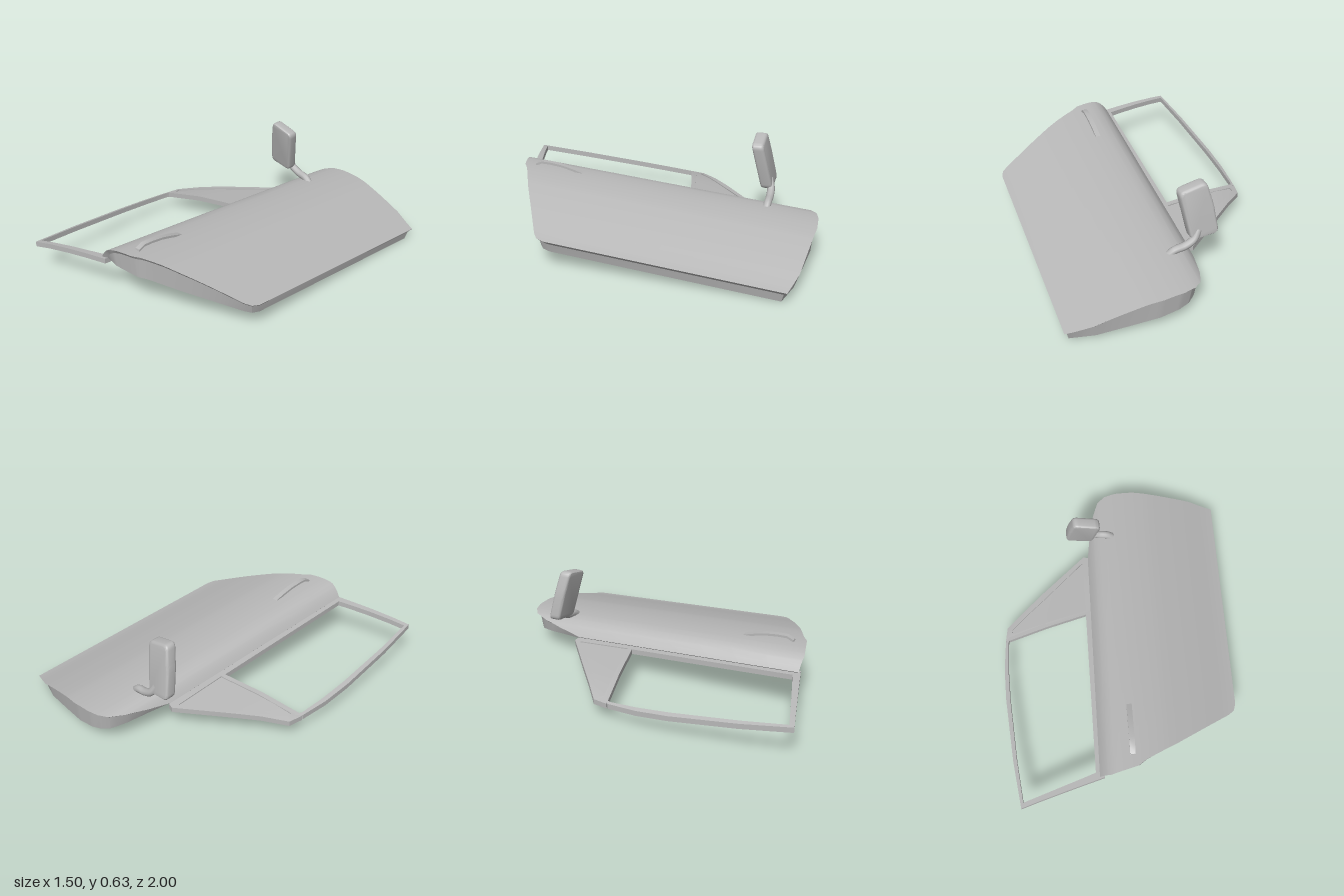
import * as THREE from 'three';
import { toCreasedNormals } from 'three/addons/utils/BufferGeometryUtils.js';

const SLOPE = 0.077; // height gained along z
const SKEW = 0.067;  // sideways drift along z: u = x + SKEW * z

// Linear and smooth lookups through short profiles
function segment(table, u) {
  let i = 0;
  while (i < table.length - 2 && u > table[i + 1][0]) i++;
  return i;
}
function linear(table, u) {
  const i = segment(table, u), [a, b] = [table[i], table[i + 1]];
  return a[1] + (b[1] - a[1]) * (u - a[0]) / (b[0] - a[0]);
}
function smooth(table, u) {
  const i = segment(table, u), [a, b] = [table[i], table[i + 1]];
  const tangent = k => {
    const p = table[Math.max(k - 1, 0)], q = table[Math.min(k + 1, table.length - 1)];
    return (q[1] - p[1]) / (q[0] - p[0]);
  };
  const w = b[0] - a[0], t = THREE.MathUtils.clamp((u - a[0]) / w, 0, 1), s = 1 - t;
  return (1 + 2 * t) * s * s * a[1] + t * s * s * w * tangent(i)
    + t * t * (3 - 2 * t) * b[1] - t * t * s * w * tangent(i + 1);
}

// Door outline and section heights, as functions of u
const rearEdge = [[-0.17, 0.88], [-0.1, 0.89], [0.01, 0.87], [0.058, 0.86], [0.106, 0.83],
  [0.3, 0.75], [0.64, 0.59], [0.675, 0.565], [0.69, 0.52]];
const frontEdge = [[-0.17, -0.58], [-0.15, -0.72], [-0.118, -0.87], [-0.084, -0.95], [-0.036, -0.985],
  [0.033, -1], [0.153, -1], [0.335, -0.97], [0.537, -0.935], [0.69, -0.88]];
const skinHeight = [[-0.17, 0.215], [-0.15, 0.245], [-0.12, 0.275], [-0.08, 0.296], [-0.03, 0.305],
  [0.058, 0.306], [0.15, 0.298], [0.25, 0.281], [0.446, 0.223], [0.64, 0.154], [0.69, 0.14]];
const frameHeight = [[-0.76, 0.115], [-0.72, 0.13], [-0.66, 0.149], [-0.6, 0.163], [-0.4, 0.19], [-0.16, 0.21]];
const U0 = -0.17, U1 = 0.69;

function geometryFrom(quads, crease = 0.5) {
  const pos = [];
  for (const [a, b, c, d] of quads) pos.push(...a, ...b, ...c, ...a, ...c, ...d);
  const g = new THREE.BufferGeometry();
  g.setAttribute('position', new THREE.Float32BufferAttribute(pos, 3));
  return toCreasedNormals(g, crease);
}

// One level of the door: rear and front points for each column
function doorLevel(columns, inset, height) {
  const edge = side => columns.map(u => {
    const v = U0 + inset + (u - U0) * (U1 - U0 - 2 * inset) / (U1 - U0);
    const z = side > 0 ? linear(rearEdge, u) - inset : linear(frontEdge, u) + inset;
    return [v - SKEW * z, height(u) + SLOPE * z, z];
  });
  return { rear: edge(1), front: edge(-1) };
}
function capQuads({ rear, front }, up) {
  const quads = [];
  const rows = 8;
  const at = (i, k) => rear[i].map((r, c) => r + (front[i][c] - r) * k / rows);
  for (let i = 0; i < rear.length - 1; i++) {
    for (let k = 0; k < rows; k++) {
      const q = [at(i, k), at(i + 1, k), at(i + 1, k + 1), at(i, k + 1)];
      quads.push(up ? q : q.reverse());
    }
  }
  return quads;
}
function wallQuads(upper, lower) {
  const a = [...upper.rear, ...[...upper.front].reverse()];
  const b = [...lower.rear, ...[...lower.front].reverse()];
  return a.map((p, i) => {
    const j = (i + 1) % a.length;
    return [b[i], b[j], a[j], p];
  });
}

// Rectangular-section band between outer and inner edge points [xo, zo, xi, zi, y?]
function bandGeometry(pairs, thickness, closed, drop = 0) {
  const point = (x, z, y, dy) =>
    [x, (y ?? smooth(frameHeight, x + SKEW * z) + SLOPE * z - drop) - dy, z];
  const sections = pairs.map(([xo, zo, xi, zi, y]) => [
    point(xo, zo, y, 0), point(xo, zo, y, thickness), point(xi, zi, y, thickness), point(xi, zi, y, 0)]);
  const quads = [];
  for (let i = 0; i < sections.length - (closed ? 0 : 1); i++) {
    const s = sections[i], t = sections[(i + 1) % sections.length];
    for (let k = 0; k < 4; k++) quads.push([s[k], t[k], t[(k + 1) % 4], s[(k + 1) % 4]]);
  }
  return geometryFrom(quads);
}

function roundedShape(points, r) {
  const shape = new THREE.Shape();
  const v = points.map(p => new THREE.Vector2(...p));
  v.forEach((p, i) => {
    const toward = q => p.clone().add(q.clone().sub(p).setLength(r));
    const a = toward(v[(i + v.length - 1) % v.length]), b = toward(v[(i + 1) % v.length]);
    if (i) shape.lineTo(a.x, a.y); else shape.moveTo(a.x, a.y);
    shape.quadraticCurveTo(p.x, p.y, b.x, b.y);
  });
  shape.closePath();
  return shape;
}

export function createModel() {
  const door = new THREE.Group();
  door.name = 'vehicleDoor';
  const grey = new THREE.MeshStandardMaterial({ color: 0xb8b8b8, side: THREE.DoubleSide });
  grey.name = 'plainGrey';
  const add = (name, geometry, parent = door) => {
    const mesh = new THREE.Mesh(geometry, grey);
    mesh.name = name;
    parent.add(mesh);
    return mesh;
  };

  // Curved outer skin with a lip that turns under to the inner tray
  const knots = [...rearEdge, ...frontEdge, ...skinHeight].map(p => p[0]);
  for (let i = 1; i < 20; i++) knots.push(U0 + (U1 - U0) * i / 20);
  const columns = knots.sort((a, b) => a - b).filter((u, i, all) => !i || u - all[i - 1] > 0.004);
  columns[columns.length - 1] = U1;
  const height = u => smooth(skinHeight, u);
  const skin = doorLevel(columns, 0, height);
  const lip = doorLevel(columns, 0.018, u => height(u) - 0.02);
  const floor = doorLevel(columns, 0.03, u => 0.192 - 0.146 * (u + 0.16));
  add('outerSkin', geometryFrom(capQuads(skin, true)));
  add('skinLip', geometryFrom(wallQuads(skin, lip)));
  add('innerTrayWall', geometryFrom(wallQuads(lip, floor)));
  add('innerTrayFloor', geometryFrom(capQuads(floor, false)));

  // Main window frame
  add('windowFrame', bandGeometry([
    [-0.2, 0.885, -0.25, 0.85], [-0.33, 0.912, -0.33, 0.872], [-0.46, 0.94, -0.46, 0.905],
    [-0.6, 0.97, -0.6, 0.94], [-0.71, 0.995, -0.695, 0.963], [-0.735, 0.7, -0.712, 0.7],
    [-0.748, 0.3, -0.722, 0.3], [-0.742, 0.1, -0.718, 0.1], [-0.72, -0.08, -0.705, -0.07],
    [-0.69, -0.12, -0.698, -0.09], [-0.45, -0.165, -0.45, -0.135], [-0.15, -0.215, -0.19, -0.18],
  ], 0.032, true));

  // Quarter window: triangular frame and recessed pane
  const quarter = new THREE.Group();
  quarter.name = 'quarterWindow';
  door.add(quarter);
  add('quarterFrame', bandGeometry([
    [-0.72, -0.09, -0.67, -0.13], [-0.7, -0.18, -0.67, -0.16], [-0.57, -0.28, -0.56, -0.245],
    [-0.45, -0.375, -0.44, -0.335], [-0.16, -0.595, -0.175, -0.55], [-0.125, -0.585, -0.17, -0.54],
    [-0.15, -0.2, -0.185, -0.205], [-0.45, -0.15, -0.45, -0.165],
  ], 0.032, true), quarter);
  add('quarterPane', bandGeometry([
    [-0.68, -0.16, -0.68, -0.12], [-0.56, -0.25, -0.56, -0.14],
    [-0.44, -0.34, -0.44, -0.16], [-0.165, -0.555, -0.18, -0.2],
  ], 0.012, false, 0.006), quarter);

  // Arched pull handle
  const arch = [[0.795, 0.355], [0.79, 0.378], [0.75, 0.396], [0.69, 0.394], [0.62, 0.385], [0.55, 0.368], [0.48, 0.346]];
  add('doorHandle', bandGeometry(arch.map(([z, y]) => {
    const x = -0.022 + (0.79 - z) * 0.06;
    return [x - 0.016, z, x + 0.016, z, y];
  }), 0.014, false));

  // Wing mirror: rounded housing leaning back on a short arm
  const mirror = new THREE.Group();
  mirror.name = 'wingMirror';
  door.add(mirror);
  const outline = roundedShape([[-0.09, 0.3], [-0.036, 0.6], [-0.2, 0.642], [-0.235, 0.5], [-0.257, 0.325]], 0.035);
  const housing = new THREE.ExtrudeGeometry(outline, {
    depth: 0.04, bevelEnabled: true, bevelThickness: 0.016, bevelSize: 0.014, bevelOffset: -0.014,
    bevelSegments: 3, curveSegments: 6,
  });
  const p = housing.attributes.position;
  for (let i = 0; i < p.count; i++) {
    p.setZ(i, p.getZ(i) - 0.665 + 0.2 * (p.getY(i) - 0.46) + 0.12 * (p.getX(i) + 0.15));
  }
  add('mirrorHousing', toCreasedNormals(housing, 0.6), mirror);
  const armPath = new THREE.CatmullRomCurve3([
    [-0.14, 0.36, -0.68], [-0.105, 0.305, -0.695], [-0.05, 0.275, -0.695], [0.01, 0.262, -0.69], [0.045, 0.235, -0.685],
  ].map(q => new THREE.Vector3(...q)));
  add('mirrorArm', new THREE.TubeGeometry(armPath, 16, 0.024, 10), mirror);

  return door;
}
